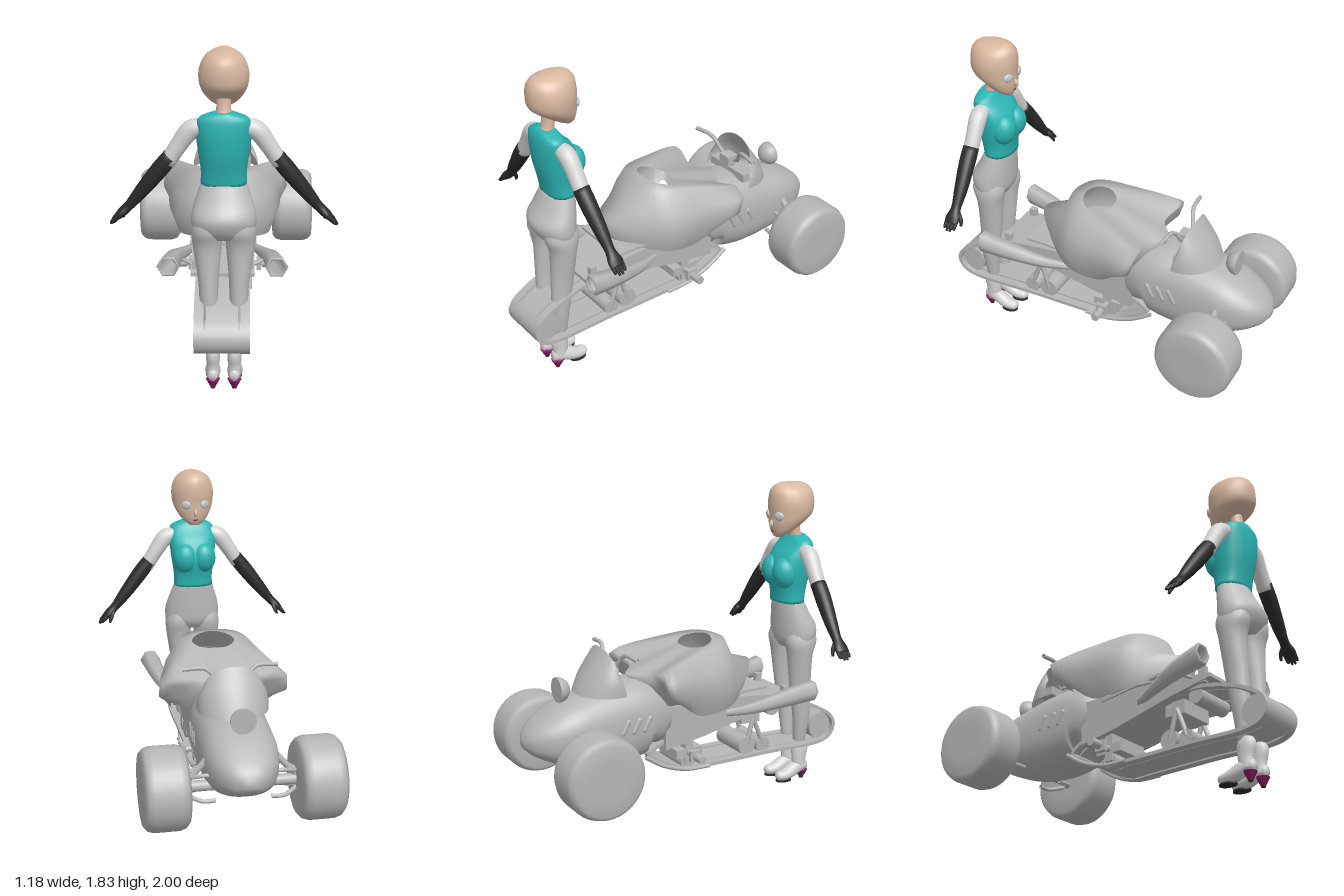
import * as THREE from 'three';

const mat = (name, color, side = THREE.FrontSide) => {
  const m = new THREE.MeshStandardMaterial({ color, side });
  m.name = name;
  return m;
};
const V = (x, y, z) => new THREE.Vector3(x, y, z);

export function createModel() {
  const grey = mat('vehicle grey', 0xb6b6b6, THREE.DoubleSide);
  const pale = mat('pale cloth', 0xd4d4d4);
  const trousers = mat('trouser grey', 0xbebebe);
  const teal = mat('teal', 0x2bb5b3);
  const skin = mat('skin', 0xd8b8a0);
  const black = mat('glove black', 0x2b2b2b);
  const magenta = mat('magenta', 0x8c1c60);
  const eyeGrey = mat('eye grey', 0xc4c8cc);

  const root = new THREE.Group();
  const rider = new THREE.Group(), trike = new THREE.Group();
  rider.name = 'rider';
  trike.name = 'trike';
  trike.position.x = -0.008;
  root.add(rider, trike);

  const add = (parent, name, geo, material, pos = [0, 0, 0], rot = [0, 0, 0], scale = [1, 1, 1]) => {
    const m = new THREE.Mesh(geo, material);
    m.name = name;
    m.position.set(...pos);
    m.rotation.set(...rot);
    m.scale.set(...scale);
    parent.add(m);
  };

  // Surface through rings of points, optionally closed around and capped
  function grid(rings, closed = true, capped = true) {
    const n = rings[0].length, pos = [], idx = [];
    rings.forEach(r => r.forEach(p => pos.push(p.x, p.y, p.z)));
    for (let i = 0; i < rings.length - 1; i++)
      for (let j = 0; j < (closed ? n : n - 1); j++) {
        const k = (j + 1) % n, a = i * n + j, b = i * n + k;
        idx.push(a, a + n, b, b, a + n, b + n);
      }
    if (capped) [0, rings.length - 1].forEach((i, end) => {
      const c = V(0, 0, 0);
      rings[i].forEach(p => c.addScaledVector(p, 1 / n));
      const ci = pos.length / 3;
      pos.push(c.x, c.y, c.z);
      for (let j = 0; j < n; j++) {
        const a = i * n + j, b = i * n + (j + 1) % n;
        if (end) idx.push(ci, b, a); else idx.push(ci, a, b);
      }
    });
    const g = new THREE.BufferGeometry();
    g.setAttribute('position', new THREE.Float32BufferAttribute(pos, 3));
    g.setIndex(idx);
    g.computeVertexNormals();
    return g;
  }

  // Loft of (super)ellipses [x, y, z, radiusAcross, radiusAlongRef] along a curve;
  // a fixed axis, pointing from first to last, keeps all rings parallel
  function loft(pts, { ref = V(0, 0, 1), axis = null, segs = 20, steps = 4, power = 2, capped = true } = {}) {
    const path = new THREE.CatmullRomCurve3(pts.map(p => V(p[0], p[1], p[2])), false, 'catmullrom');
    const radii = new THREE.CatmullRomCurve3(pts.map(p => V(p[3], p[4], 0)), false, 'catmullrom');
    const rings = [], count = (pts.length - 1) * steps;
    const bend = v => Math.sign(v) * Math.abs(v) ** (2 / power);
    for (let i = 0; i <= count; i++) {
      const c = path.getPoint(i / count), r = radii.getPoint(i / count), t = axis || path.getTangent(i / count);
      const u = t.clone().cross(ref).normalize(), v = u.clone().cross(t);
      rings.push(Array.from({ length: segs }, (_, j) => {
        const a = j / segs * Math.PI * 2;
        return c.clone().addScaledVector(u, bend(Math.cos(a)) * r.x).addScaledVector(v, bend(Math.sin(a)) * r.y);
      }));
    }
    return grid(rings, true, capped);
  }
  const ball = new THREE.SphereGeometry(1, 20, 14);
  const UP = V(0, 1, 0), rising = { axis: UP }, falling = { axis: V(0, -1, 0) };
  const tube = (pts, r) => new THREE.TubeGeometry(new THREE.CatmullRomCurve3(pts.map(p => V(...p))), 16, r, 8);
  // Cylinder lying along x
  const roller = (name, x, y, z, r, w) =>
    add(trike, name, new THREE.CylinderGeometry(r, r, w, 24), grey, [x, y, z], [0, 0, Math.PI / 2]);
  // Side profile of (z, y) points, extruded along x
  function profile(name, pts, x, width, hole) {
    const s = new THREE.Shape(pts.map(p => new THREE.Vector2(...p)));
    if (hole) s.holes.push(new THREE.Path(hole.map(p => new THREE.Vector2(...p))));
    const g = new THREE.ExtrudeGeometry(s, { depth: width, bevelEnabled: false });
    g.translate(0, 0, -width / 2).rotateY(-Math.PI / 2);
    add(trike, name, g, grey, [x, 0, 0]);
  }

  // ---- Rider: head and torso (facing -z) ----
  add(rider, 'head', loft([[0, 1.518, .655, .03, .022], [0, 1.55, .675, .07, .057], [0, 1.6, .709, .104, .1],
    [0, 1.65, .738, .122, .13], [0, 1.715, .742, .126, .138], [0, 1.775, .741, .108, .131],
    [0, 1.81, .738, .075, .108], [0, 1.828, .73, .035, .07]], rising), skin);
  add(rider, 'nose', ball, skin, [0, 1.597, .609], [.25, 0, 0], [.012, .024, .016]);
  add(rider, 'lips', ball, magenta, [0, 1.554, .618], [0, 0, 0], [.014, .006, .006]);
  add(rider, 'neck', loft([[0, 1.48, .785, .045, .042], [0, 1.54, .77, .037, .035], [0, 1.63, .755, .04, .04]], rising), skin);
  add(rider, 'top', loft([[0, 1.128, .728, .119, .083], [0, 1.2, .731, .118, .093], [0, 1.3, .732, .132, .115],
    [0, 1.4, .752, .141, .103], [0, 1.465, .778, .137, .073], [0, 1.497, .785, .115, .058], [0, 1.52, .787, .05, .045]],
    { axis: UP, power: 2.3 }), teal);
  add(rider, 'hips', loft([[0, 1.14, .73, .115, .08], [0, 1.05, .755, .145, .1], [0, .97, .78, .166, .12],
    [0, .9, .775, .162, .105], [0, .85, .77, .12, .07]], falling), trousers);

  for (const s of [-1, 1]) {
    const m = pts => pts.map(([x, ...rest]) => [s * x, ...rest]);
    add(rider, 'eye', ball, eyeGrey, [s * .056, 1.645, .621], [0, -s * .5, 0], [.03, .025, .012]);
    add(rider, 'bust', ball, teal, [s * .056, 1.305, .672], [-.2, 0, 0], [.074, .095, .074]);
    // Arms
    add(rider, 'sleeve', loft(m([[.1, 1.44, .768, .04, .042], [.165, 1.42, .762, .05, .05],
      [.225, 1.34, .757, .045, .046], [.285, 1.245, .755, .041, .043]])), pale);
    add(rider, 'glove', loft(m([[.268, 1.277, .755, .043, .046], [.33, 1.2, .75, .045, .046],
      [.42, 1.085, .74, .037, .038], [.485, 1.005, .735, .026, .028], [.525, .965, .733, .024, .042],
      [.553, .938, .733, .016, .04]])), black);
    for (let i = 0; i < 4; i++) {
      const z = .702 + i * .02, l = i % 3 ? 1 : .75;
      add(rider, 'finger', loft(m([[.54, .95, z, .012, .011], [.565, .925, z, .011, .01],
        [.55 + .035 * l, .945 - .04 * l, z, .006, .006]]), { segs: 8, steps: 2 }), black);
    }
    add(rider, 'thumb', loft(m([[.5, .985, .715, .014, .014], [.513, .95, .69, .013, .012],
      [.525, .918, .683, .007, .007]]), { segs: 8, steps: 2 }), black);
    // Legs and boots
    add(rider, 'leg', loft(m([[.08, 1.0, .778, .05, .07], [.086, .9, .775, .08, .1], [.086, .8, .77, .075, .077],
      [.08, .6, .782, .053, .068], [.076, .42, .797, .046, .054], [.06, .22, .797, .031, .034]]), falling), trousers);
    add(rider, 'bootShaft', loft(m([[.057, .235, .802, .033, .04], [.057, .2, .808, .038, .056],
      [.057, .13, .803, .035, .046], [.057, .06, .81, .033, .042]])), pale);
    add(rider, 'bootFoot', loft(m([[.057, .085, .855, .022, .028], [.057, .08, .79, .037, .043],
      [.06, .048, .71, .042, .036], [.062, .042, .655, .032, .028], [.062, .04, .637, .012, .012]]), { ref: UP }), pale);
    add(rider, 'heel', new THREE.CylinderGeometry(.038, .014, .045, 12), magenta, [s * .057, .031, .825]);
    add(rider, 'heelTip', new THREE.CylinderGeometry(.014, .012, .008, 12), black, [s * .057, .004, .825]);
    add(rider, 'sole', new THREE.CylinderGeometry(1, 1, .009, 20), black, [s * .061, .012, .692], [0, 0, 0], [.036, 1, .052]);
  }

  // ---- Trike: nose body, fairing, frame ----
  add(trike, 'noseBody', loft([[0, .545, -.175, .17, .13], [0, .6, -.28, .2, .213], [0, .58, -.45, .205, .235],
    [0, .57, -.6, .205, .22], [0, .565, -.75, .2, .185], [0, .555, -.88, .16, .125],
    [0, .545, -.96, .098, .07], [0, .54, -.996, .03, .02]], { ref: UP, segs: 32, power: 2.5 }), grey);

  // Fairing rings from the oval opening out to the lower rim, half outlines front to back
  const halves = [
    [[0, .955, 0], [.07, .955, .015], [.115, .965, .06], [.12, .975, .1], [.08, .99, .15], [0, 1, .17]],
    [[0, .84, -.36], [.12, .86, -.27], [.28, .905, -.28], [.225, .96, -.02], [.16, .985, .18], [0, .985, .25]],
    [[0, .81, -.35], [.17, .82, -.25], [.35, .86, -.285], [.305, .86, -.06], [.235, .86, .19], [0, .86, .31]],
    [[0, .77, -.32], [.19, .76, -.24], [.355, .77, -.255], [.325, .76, -.06], [.27, .75, .2], [0, .82, .445]],
    [[0, .66, -.2], [.2, .68, -.19], [.28, .705, -.17], [.26, .61, -.02], [.23, .63, .2], [0, .69, .41]]];
  const rings = halves.map(h => {
    const back = h.slice(1, -1).reverse().map(([x, y, z]) => [-x, y, z]);
    return new THREE.CatmullRomCurve3([...h, ...back].map(p => V(...p)), true, 'catmullrom').getPoints(60).slice(0, 60);
  });
  add(trike, 'fairing', grid(rings.reverse(), true, false), grey);
  add(trike, 'seatWell', new THREE.CylinderGeometry(.15, .15, .01, 24), grey, [0, .82, .08]);
  profile('frame', [[.68, .6], [.4, .635], [.2, .65], [-.2, .66], [-.2, .41], [.05, .45], [.4, .53], [.68, .58]], 0, .34);
  profile('tailPlate', [[.47, .685], [.34, .685], [-.05, .64], [-.05, .625], [.34, .67], [.47, .67]], 0, .36);

  // Headlight, arched windscreen and handlebar
  add(trike, 'headlight', new THREE.SphereGeometry(.07, 24, 10, 0, Math.PI * 2, 0, Math.PI / 2), grey,
    [0, .815, -.782], [Math.PI / 2, 0, 0]);
  add(trike, 'headlightFace', new THREE.CylinderGeometry(.07, .07, .008, 24), grey, [0, .815, -.782], [Math.PI / 2, 0, 0]);
  add(trike, 'headlightStem', new THREE.CylinderGeometry(.02, .03, .08, 10), grey, [0, .745, -.745]);
  const arcs = [[0, .195, .19], [.09, .195, .15], [.16, .185, .1], [.25, .155, .04]].map(([h, rx, rz]) =>
    Array.from({ length: 25 }, (_, j) => {
      const a = (j / 24 - .5) * Math.PI * 1.1;
      return V(rx * Math.sin(a), .775 + h * (.45 + .55 * Math.cos(a * .9)), -.485 - rz * Math.cos(a));
    }));
  add(trike, 'windscreen', grid(arcs, false, false), grey);
  add(trike, 'dashboard', new THREE.BoxGeometry(.3, .05, .1), grey, [0, .82, -.5]);
  add(trike, 'handlebar', tube([[-.26, .99, -.425], [-.13, .99, -.44], [-.06, .9, -.47], [.06, .9, -.47],
    [.13, .99, -.44], [.26, .99, -.425]], .012), grey);
  add(trike, 'barClamp', new THREE.BoxGeometry(.08, .05, .07), grey, [0, .895, -.46]);
  add(trike, 'steeringPost', tube([[0, .9, -.46], [0, .84, -.48], [0, .76, -.5]], .025), grey);

  // ---- Track: belt loop with side rails and rollers ----
  const loop = new THREE.CatmullRomCurve3([[1, .35], [.975, .41], [.92, .455], [.78, .52], [.57, .567], [.3, .555],
    [-.1, .5], [-.3, .39], [-.2, .315], [-.05, .25], [.1, .247], [.5, .247], [.9, .247], [.975, .285]]
    .map(([z, y]) => V(z, y, 0)), true);
  const outline = inset => Array.from({ length: 90 }, (_, i) => {
    const p = loop.getPoint(i / 90), t = loop.getTangent(i / 90);
    return [p.x - t.y * inset, p.y + t.x * inset];
  });
  profile('trackBelt', outline(.004), 0, .165, outline(.018));
  for (const s of [-1, 1]) profile('trackRail', outline(0), s * .12, .05, outline(.02));
  roller('rearRoller', 0, .345, .915, .085, .23);
  for (const [y, z, r] of [[.52, .553, .045], [.303, .485, .045], [.315, .372, .055], [.295, -.035, .042]])
    roller('idler', 0, y, z, r, .25);
  add(trike, 'rollerMount', new THREE.BoxGeometry(.22, .08, .125), grey, [0, .49, .405]);
  add(trike, 'hubVertical', new THREE.BoxGeometry(.28, .17, .05), grey, [0, .37, -.03]);
  add(trike, 'hubCross', new THREE.BoxGeometry(.28, .05, .17), grey, [0, .355, -.03]);
  roller('pegAxle', 0, .355, -.03, .017, .57);

  // ---- Mirrored parts: wheels, suspension, exhausts, vents ----
  const tyre = [[.001, -.122], [.11, -.122], [.195, -.12], [.217, -.1], [.227, -.07], [.227, .07],
    [.217, .1], [.195, .12], [.11, .122], [.001, .122]].map(p => new THREE.Vector2(...p));
  const wheelGeo = new THREE.LatheGeometry(tyre, 40);
  for (const s of [-1, 1]) {
    add(trike, 'wheel', wheelGeo, grey, [s * .415, .453, -.74], [0, 0, Math.PI / 2]);
    roller('axle', s * .25, .453, -.74, .03, .22);
    for (const [y, z] of [[.53, -.67], [.53, -.79], [.39, -.65], [.39, -.8]])
      add(trike, 'suspensionArm', tube([[s * .15, y, z], [s * .22, y, z], [s * .31, .453 + (y - .453) * .6, -.74]], .012), grey);
    add(trike, 'shock', tube([[s * .16, .63, -.73], [s * .22, .56, -.735], [s * .3, .48, -.74]], .018), grey);
    add(trike, 'pegCap', new THREE.BoxGeometry(.025, .065, .065), grey, [s * .2, .355, -.03]);
    add(trike, 'pegGrip', new THREE.CylinderGeometry(.024, .024, .07, 12), grey, [s * .255, .355, -.03], [0, 0, Math.PI / 2]);
    add(trike, 'exhaust', loft([[s * .285, .652, .715, .06, .063], [s * .262, .62, .52, .05, .05],
      [s * .215, .58, .34, .034, .032], [s * .16, .56, .2, .02, .02]],
      { ref: UP, axis: V(0, 0, -1), segs: 6, capped: false }), grey);
    add(trike, 'exhaustRim', new THREE.TorusGeometry(.053, .009, 6, 6), grey, [s * .285, .652, .713]);
    add(trike, 'exhaustBrace', tube([[s * .25, .62, .5], [s * .2, .61, .54], [s * .15, .6, .57]], .01), grey);
    add(trike, 'tailBracket', new THREE.BoxGeometry(.035, .09, .04), grey, [s * .145, .61, .62]);
    for (const z of [.485, .372])
      add(trike, 'rollerStrut', tube([[s * .115, .48, .42], [s * .115, .4, (z + .42) / 2], [s * .115, .31, z]], .014), grey);
    for (const z of [-.335, -.4, -.468])
      add(trike, 'vent', new THREE.CapsuleGeometry(.017, .07, 4, 10), grey, [s * .194, .6, z], [.5, 0, 0]);
    // Lower side rod from the track to the nose
    add(trike, 'sideRod', tube([[s * .15, .255, .1], [s * .15, .262, -.05], [s * .15, .31, -.2], [s * .15, .385, -.32]], .012), grey);
  }
  return root;
}
